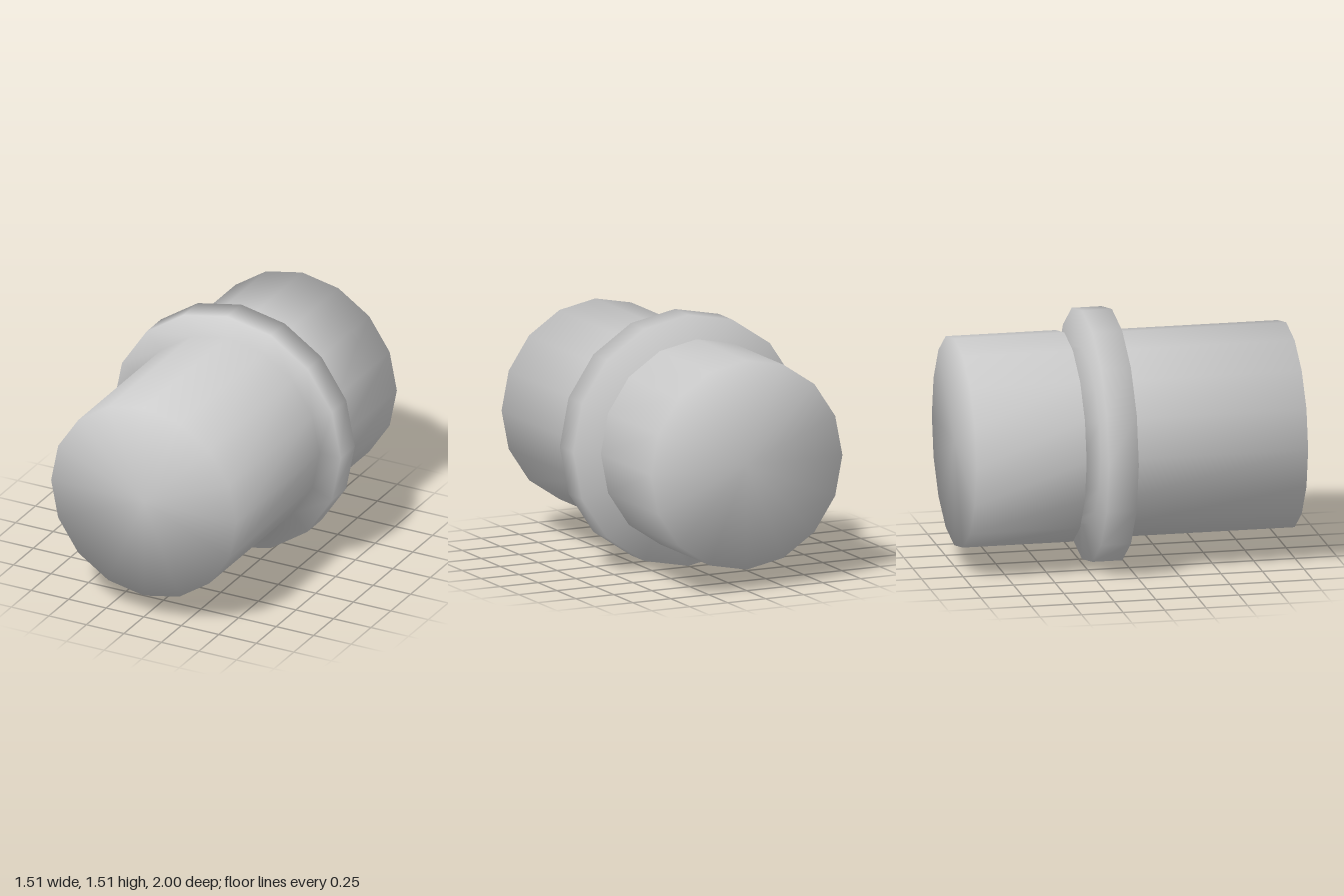
import * as THREE from 'three';

const SIDES = 16;
const CENTER_Y = 0.757;

// Sections along z, rear to front: [radius, back z, front z]
const SECTIONS = [
  [0.63, -1, -0.337],      // rear barrel
  [0.527, -0.337, -0.23],  // neck
  [0.757, -0.23, -0.05],   // flange
  [0.617, -0.05, 1],       // front barrel
];

export function createModel() {
  const group = new THREE.Group();
  group.name = 'flangedCoupling';

  // One closed stepped profile, from the centre of the rear cap to the centre of the front cap
  const profile = [new THREE.Vector2(0, -1)];
  for (const [radius, back, front] of SECTIONS) {
    profile.push(new THREE.Vector2(radius, back), new THREE.Vector2(radius, front));
  }
  profile.push(new THREE.Vector2(0, 1));

  // Normals stay smooth over the steps; the turning axis is laid along z
  const geometry = new THREE.LatheGeometry(profile, SIDES);
  geometry.rotateX(Math.PI / 2);

  const body = new THREE.Mesh(geometry, new THREE.MeshStandardMaterial({ color: 0xcccccc }));
  body.name = 'steppedBody';
  body.position.y = CENTER_Y;
  group.add(body);

  return group;
}
